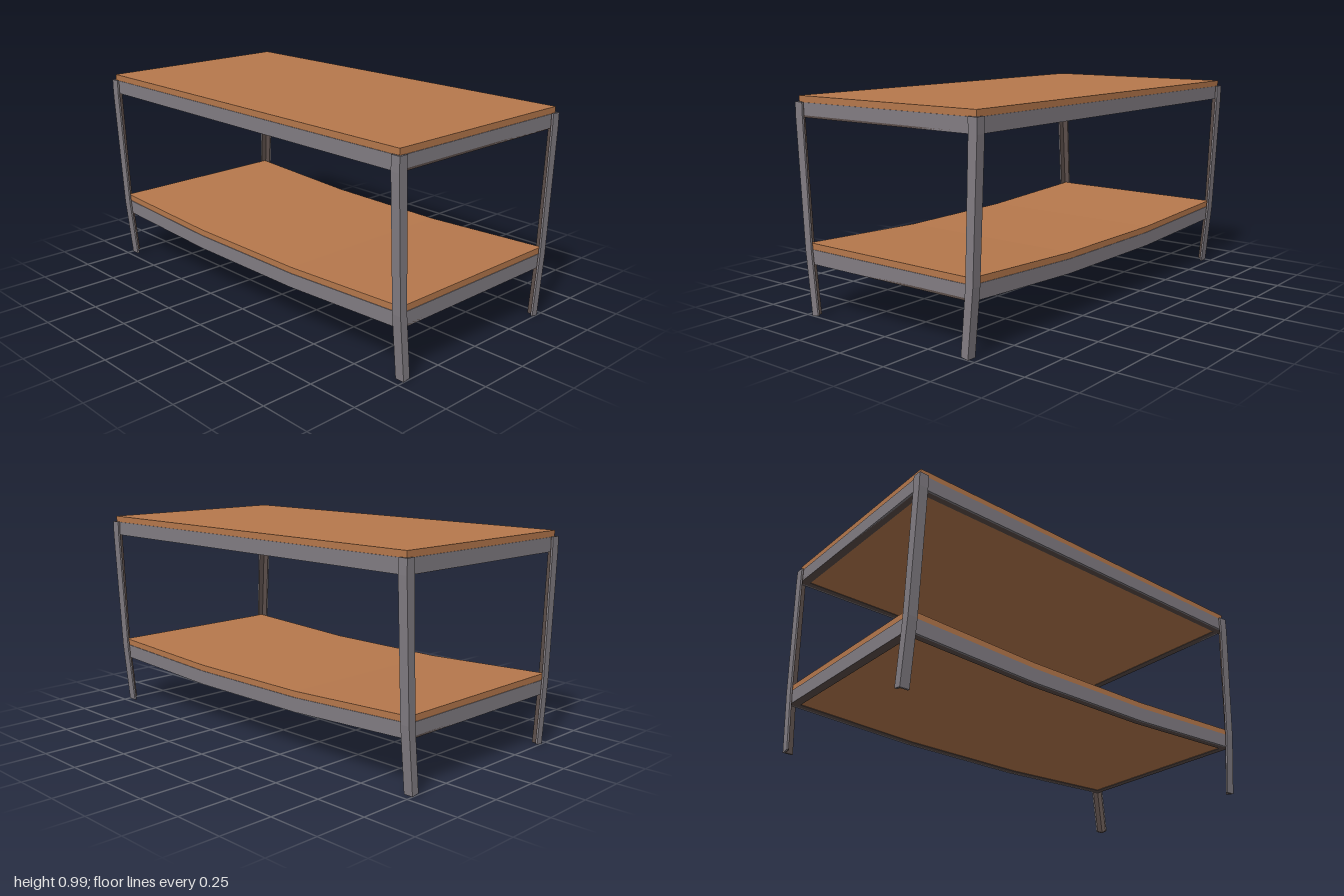
import * as THREE from 'three';

function material(name, color) {
  const m = new THREE.MeshStandardMaterial({ color });
  m.name = name;
  return m;
}
const wood = material('brown wood', 0xb6784c);
const steel = material('grey steel', 0x827d83);
const darkSteel = material('dark inner steel', 0x5a4d49);

const T = 0.01; // thickness of the angle steel
const END = 0.99; // half length of the frames

function add(parent, name, geometry, mat) {
  const mesh = new THREE.Mesh(geometry, mat);
  mesh.name = name;
  parent.add(mesh);
  return mesh;
}

function extrude(points, depth) {
  const shape = new THREE.Shape(points.map(([x, y]) => new THREE.Vector2(x, y)));
  return new THREE.ExtrudeGeometry(shape, { depth, bevelEnabled: false });
}

// Long strip between two heights, dropping by sag in its middle third, from z0 to z1
function strip(half, y0, y1, z0, z1, sag) {
  const drop = (x) => sag * Math.min(1, (END - Math.abs(x)) / (END - 0.33));
  const xs = sag ? [-half, -0.33, 0.33, half] : [-half, half];
  const lower = xs.map((x) => [x, y0 - drop(x)]);
  const upper = xs.map((x) => [x, y1 - drop(x)]).reverse();
  return extrude([...lower, ...upper], z1 - z0).translate(0, 0, z0);
}

// Board resting in a rectangular frame of angle steel
function createDeck(name, bottom, railTop, boardTop, depth, sag) {
  const deck = new THREE.Group();
  deck.name = name;
  const flange = 0.04;
  const inset = 0.003;
  add(deck, 'board', strip(END - inset, bottom + 0.003, boardTop, -depth + inset, depth - inset, sag), wood);
  for (const s of [-1, 1]) {
    const side = s > 0 ? 'front' : 'back';
    const wall = s > 0 ? [depth - T, depth] : [-depth, -depth + T];
    const lip = s > 0 ? [depth - flange, depth - T] : [-depth + T, -depth + flange];
    add(deck, side + 'Rail', strip(END, bottom, railTop, ...wall, sag), steel);
    add(deck, side + 'RailFlange', strip(END, bottom, bottom + T, ...lip, sag), darkSteel);

    // End rails, with flanges following the slope of the board
    const end = s > 0 ? 'left' : 'right';
    const slope = (sag / (END - 0.33)) * flange;
    const rail = add(deck, end + 'Rail', new THREE.BoxGeometry(T, railTop - bottom, 2 * depth), steel);
    rail.position.set(s * (END - T / 2), (bottom + railTop) / 2, 0);
    const a = s * (END - flange);
    const b = s * END;
    const lipShape = [[a, bottom - slope], [b, bottom], [b, bottom + T], [a, bottom + T - slope]];
    const inner = depth - flange;
    add(deck, end + 'RailFlange', extrude(lipShape, 2 * inner).translate(0, 0, -inner), darkSteel);
  }
  return deck;
}

// Bent angle leg with a dark inside; sx and sz choose the corner
function createLeg(sx, sz) {
  const leg = new THREE.Group();
  leg.name = (sz > 0 ? 'front' : 'back') + (sx > 0 ? 'Left' : 'Right') + 'Leg';
  const outer = [[0.525, 0.967], [0.525, 0.9], [0.496, 0.3], [0.466, 0]];
  const inner = [[0.48, 0.967], [0.48, 0.9], [0.457, 0.3], [0.429, 0.006]];
  const behind = (d) => outer.map(([z, y]) => [z - d, y]);

  // Profiles are drawn as z, y and extruded along x, from x0 to x1 inward of the outer side
  const flange = (from, to, x0, x1) => {
    const points = [...from, ...[...to].reverse()].map(([z, y]) => [sz * z, y]);
    const g = extrude(points, x1 - x0).rotateY(-Math.PI / 2);
    return g.translate(sx > 0 ? 1 - x0 : -1 + x1, 0, 0);
  };
  const skin = 0.007;
  add(leg, 'sideFlange', flange(outer, inner, 0, skin), steel);
  add(leg, 'sideFlangeInside', flange(behind(skin), inner, skin, T), darkSteel);
  add(leg, 'faceFlange', flange(outer, behind(skin), skin, 0.045), steel);
  add(leg, 'faceFlangeInside', flange(behind(skin), behind(T), T, 0.045), darkSteel);
  return leg;
}

export function createModel() {
  const bench = new THREE.Group();
  bench.name = 'workbench';
  bench.add(createDeck('worktop', 0.899, 0.965, 0.994, 0.515, 0));
  bench.add(createDeck('lowerShelf', 0.24, 0.307, 0.336, 0.482, 0.029));
  for (const sx of [-1, 1]) for (const sz of [-1, 1]) bench.add(createLeg(sx, sz));
  return bench;
}
